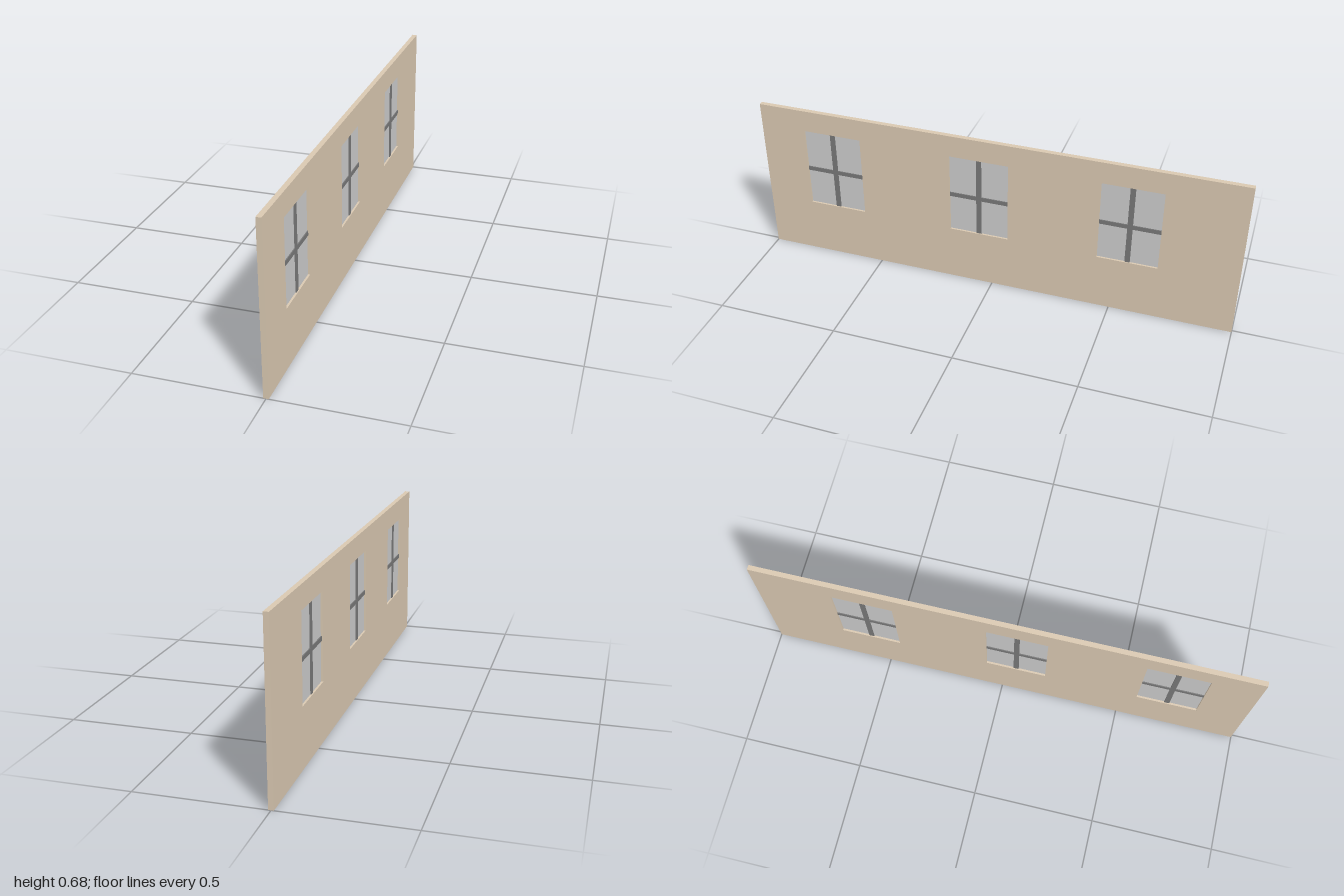
import * as THREE from 'three';

const LENGTH = 2, HEIGHT = 0.68, THICK = 0.02;
const WIN = { width: 0.246, bottom: 0.24, top: 0.588, barY: 0.408 };
const WINDOW_Z = [0.686, 0.057, -0.56];

const wallMat = new THREE.MeshStandardMaterial({ color: 0xd9c8b1 });
const barMat = new THREE.MeshStandardMaterial({ color: 0x787878 });
const glassMat = new THREE.MeshStandardMaterial({ color: 0xcccccc });

function box(name, material, w, h, d, y) {
  const mesh = new THREE.Mesh(new THREE.BoxGeometry(w, h, d), material);
  mesh.name = name;
  mesh.position.y = y;
  return mesh;
}

// Rectangle outline used for the wall and its openings
function rectangle(path, x0, y0, x1, y1) {
  path.moveTo(x0, y0);
  path.lineTo(x1, y0);
  path.lineTo(x1, y1);
  path.lineTo(x0, y1);
  path.closePath();
  return path;
}

// Wall panel drawn in (-z, y), extruded through its thickness along x
function createWall() {
  const shape = rectangle(new THREE.Shape(), -LENGTH / 2, 0, LENGTH / 2, HEIGHT);
  for (const z of WINDOW_Z) {
    shape.holes.push(rectangle(new THREE.Path(),
      -z - WIN.width / 2, WIN.bottom, -z + WIN.width / 2, WIN.top));
  }
  const geometry = new THREE.ExtrudeGeometry(shape, { depth: THICK, bevelEnabled: false });
  geometry.translate(0, 0, -THICK / 2);
  geometry.rotateY(Math.PI / 2);
  const wall = new THREE.Mesh(geometry, wallMat);
  wall.name = 'wall';
  return wall;
}

// Recessed pane with a cross of glazing bars
function createWindow(z) {
  const h = WIN.top - WIN.bottom, midY = (WIN.top + WIN.bottom) / 2;
  const group = new THREE.Group();
  group.name = 'window';
  group.position.z = z;
  group.add(
    box('glass', glassMat, 0.004, h, WIN.width, midY),
    box('verticalBar', barMat, 0.012, h, 0.021, midY),
    box('horizontalBar', barMat, 0.0118, 0.018, WIN.width, WIN.barY),
  );
  return group;
}

export function createModel() {
  const model = new THREE.Group();
  model.name = 'windowWall';
  model.add(createWall(), ...WINDOW_Z.map(createWindow));
  return model;
}
